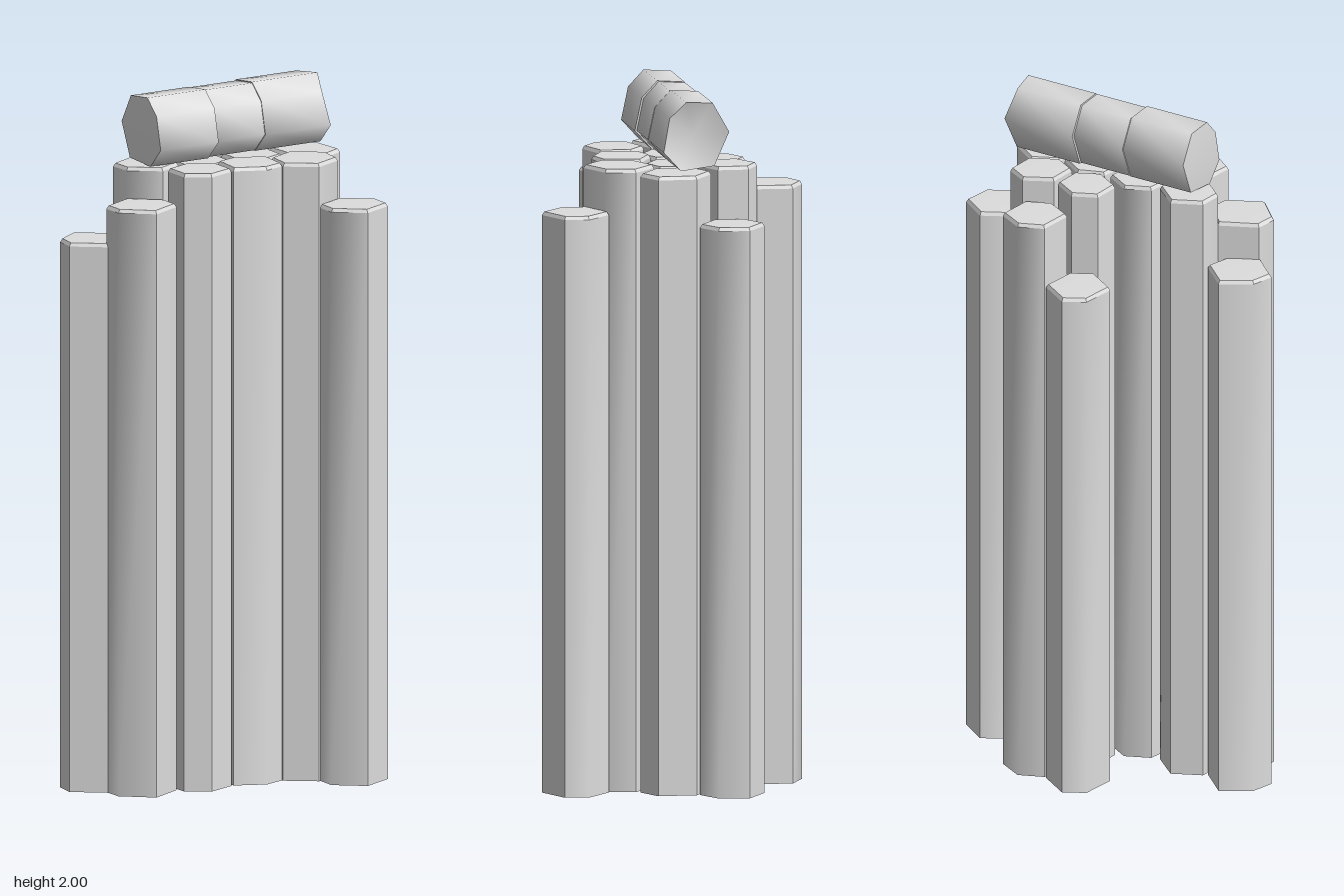
import * as THREE from 'three';
import { mergeGeometries, toCreasedNormals } from 'three/addons/utils/BufferGeometryUtils.js';

// Loft through rings of equal point count; either end is closed by a fan if its centre is given
function loft(rings, crease, startCentre, endCentre) {
  const p = [];
  const tri = (...v) => v.forEach((q) => p.push(q.x, q.y, q.z));
  const n = rings[0].length;
  const last = rings[rings.length - 1];
  for (let i = 0; i < n; i++) {
    const j = (i + 1) % n;
    for (let r = 0; r < rings.length - 1; r++) {
      const lo = rings[r], hi = rings[r + 1];
      tri(lo[i], hi[i], lo[j]);
      tri(lo[j], hi[i], hi[j]);
    }
    if (startCentre) tri(startCentre, rings[0][i], rings[0][j]);
    if (endCentre) tri(endCentre, last[j], last[i]);
  }
  const g = new THREE.BufferGeometry();
  g.setAttribute('position', new THREE.Float32BufferAttribute(p, 3));
  return toCreasedNormals(g, crease);
}

// Standing columns: centre x, centre z, height, then three half diagonals (x, z)
const COLUMNS = [
  [-0.022, -0.289, 1.55, 0.077, 0.057, 0.02, 0.098, -0.077, 0.05],
  [0.139, -0.287, 1.73, 0.076, 0.05, 0.008, 0.088, -0.073, 0.055],
  [0.072, -0.137, 1.79, 0.075, 0.04, 0.01, 0.08, -0.069, 0.044],
  [0.225, -0.154, 1.8, 0.074, 0.033, 0, 0.084, -0.068, 0.055],
  [0.384, -0.154, 1.65, 0.078, 0.045, 0.01, 0.093, -0.08, 0.045],
  [0.322, 0.002, 1.79, 0.084, 0.057, 0.015, 0.102, -0.076, 0.054],
  [-0.377, 0.004, 1.6, 0.082, 0.037, 0.004, 0.1, -0.091, 0.032],
  [-0.196, -0.002, 1.8, 0.084, 0.04, 0.005, 0.09, -0.081, 0.032],
  [-0.284, 0.128, 1.71, 0.094, 0.037, -0.007, 0.1, -0.093, 0.03],
  [-0.103, 0.146, 1.8, 0.078, 0.045, -0.01, 0.087, -0.078, 0.047],
  [0.066, 0.138, 1.8, 0.073, 0.057, 0.008, 0.085, -0.083, 0.051],
  [0.233, 0.158, 1.8, 0.084, 0.045, -0.008, 0.1, -0.093, 0.042],
  [0.321, 0.289, 1.68, 0.09, 0.038, -0.008, 0.095, -0.092, 0.032],
  [-0.018, -0.003, 1.79, 0.072, 0.04, 0.004, 0.08, -0.075, 0.044],
  [0.152, -0.004, 1.79, 0.074, 0.045, 0.004, 0.08, -0.076, 0.04],
];

// Skewed hexagon column, open underneath, with a worn rim around the top
function columnGeometry([cx, cz, h, ...d]) {
  const half = [0, 2, 4].map((i) => [d[i], d[i + 1]]);
  const corners = [...half, ...half.map(([x, z]) => [-x, -z])];
  const ring = (y, k) => corners.map(([x, z]) => new THREE.Vector3(cx + x * k, y, cz + z * k));
  const rim = ring(h - 0.012, 1);
  const shaft = loft([ring(0, 1), rim], 0.96);
  const top = loft([rim, ring(h - 0.002, 0.93)], 0.4, null, new THREE.Vector3(cx, h, cz));
  return mergeGeometries([shaft, top]);
}

// Cross-section of the fallen column: [z, y] about its axis
const SECTION = [[0.095, -0.045], [0.075, 0.05], [0.03, 0.098], [-0.05, 0.092],
  [-0.095, 0.01], [-0.055, -0.09], [0.045, -0.1]];

function sectionRing(x, k, jag) {
  return SECTION.map(([z, y], i) => new THREE.Vector3(x + (i % 2 ? -jag : jag), y * k, z * k));
}

export function createModel() {
  const model = new THREE.Group();
  const stone = new THREE.MeshStandardMaterial({ color: 0xdddddd, side: THREE.DoubleSide });
  stone.name = 'pale grey stone';

  const columns = new THREE.Group();
  columns.name = 'standingColumns';
  COLUMNS.forEach((column, i) => {
    const mesh = new THREE.Mesh(columnGeometry(column), stone);
    mesh.name = `column${i + 1}`;
    columns.add(mesh);
  });

  // Fallen column lying across the tops, in three cracked pieces with a jagged hollow right end
  const fallen = new THREE.Group();
  fallen.name = 'fallenColumn';
  const pieces = [
    { from: -0.295, to: -0.091, size: 1, bulge: 0.008, hollow: 0, jag: 0 },
    { from: -0.089, to: 0.076, size: 0.975, bulge: 0, hollow: 0, jag: 0 },
    { from: 0.078, to: 0.3, size: 1, bulge: 0, hollow: 0.03, jag: 0.008 },
  ];
  pieces.forEach(({ from, to, size, bulge, hollow, jag }, i) => {
    const rings = [sectionRing(from, size, 0), sectionRing(to, size, jag)];
    const start = new THREE.Vector3(from - bulge, 0, 0);
    const end = new THREE.Vector3(to - hollow, 0, 0);
    const mesh = new THREE.Mesh(loft(rings, 1.25, start, end), stone);
    mesh.name = `fallenPiece${i + 1}`;
    mesh.position.z = 0.002 - i * 0.003;
    fallen.add(mesh);
  });
  fallen.position.set(0.07, 1.9, -0.015);
  fallen.rotation.y = 0.11;

  model.add(columns, fallen);
  return model;
}
